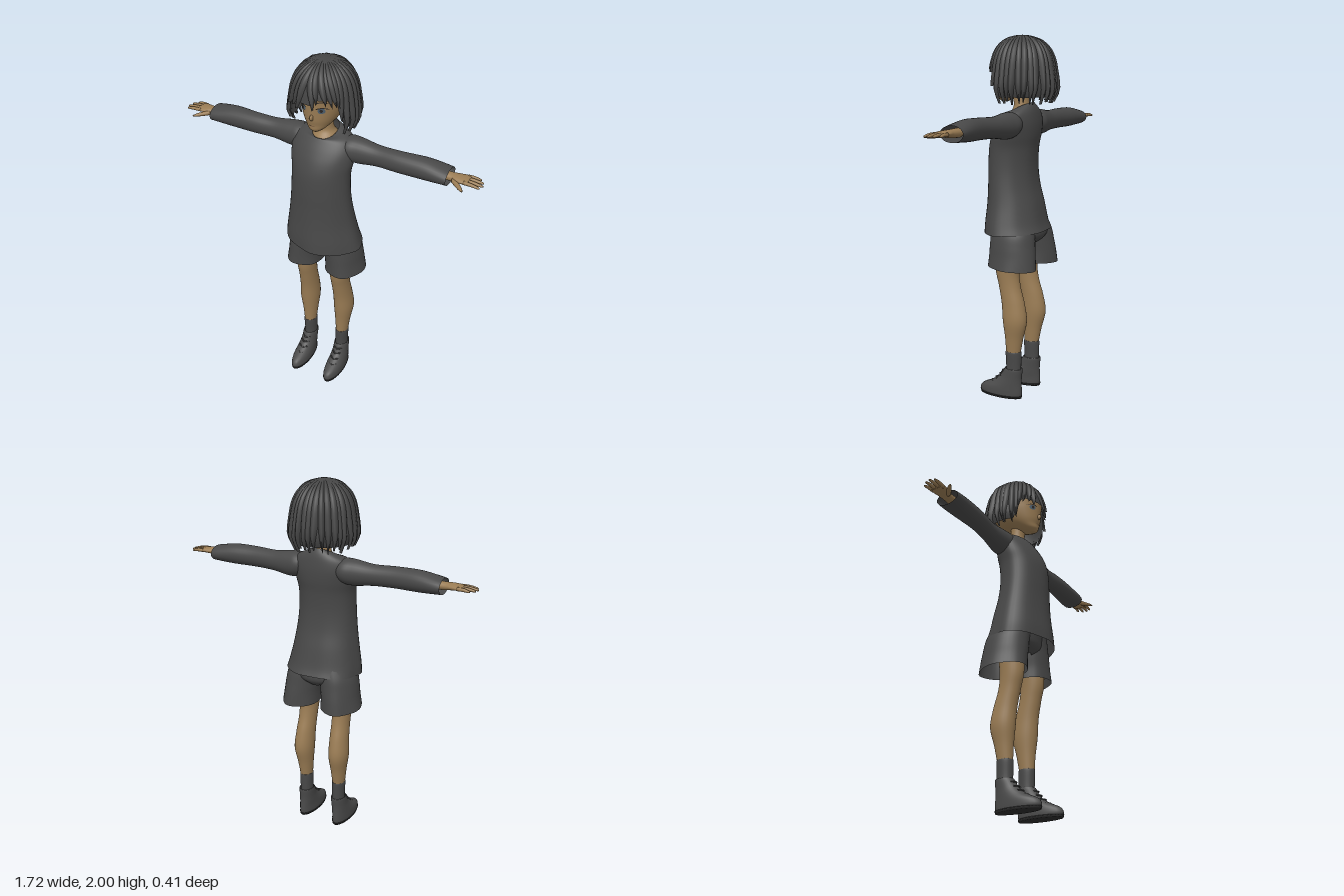
import * as THREE from 'three';
import { mergeVertices } from 'three/addons/utils/BufferGeometryUtils.js';

const mat = (name, color, side = THREE.FrontSide) => {
  const m = new THREE.MeshStandardMaterial({ color, side });
  m.name = name;
  return m;
};

// Smooth surface from f(u, v), u and v running 0..1
function grid(f, nu, nv) {
  const pos = [], index = [];
  for (let i = 0; i <= nu; i++)
    for (let j = 0; j <= nv; j++) pos.push(...f(i / nu, j / nv));
  for (let i = 0; i < nu; i++)
    for (let j = 0; j < nv; j++) {
      const a = i * (nv + 1) + j, b = a + nv + 1;
      index.push(a, b, a + 1, b, b + 1, a + 1);
    }
  let g = new THREE.BufferGeometry();
  g.setAttribute('position', new THREE.Float32BufferAttribute(pos, 3));
  g.setIndex(index);
  g = mergeVertices(g, 1e-5);
  g.computeVertexNormals();
  return g;
}

// Catmull-Rom blend of cross-section rows at s = 0..1
function blend(rows, s) {
  const n = rows.length - 1, k = Math.min(n - 1, Math.floor(s * n)), t = s * n - k;
  const r = (i) => rows[Math.max(0, Math.min(n, i))];
  return rows[k].map((_, c) => {
    const a = r(k - 1)[c], b = r(k)[c], d = r(k + 1)[c], e = r(k + 2)[c];
    return b + 0.5 * t * (d - a + t * (2 * a - 5 * b + 4 * d - e + t * (3 * (b - d) + e - a)));
  });
}

// Loft of ellipses. Axis y rows: [y, x, z, rx, rz, tilt]. Axis x rows: [x, z, y, rz, ry]
function loft(rows, { axis = 'y', sides = 28, steps = 5, cap = false, wave = () => 1 } = {}) {
  const nu = (rows.length - 1) * steps;
  const total = cap ? nu + 2 : nu;
  return grid((u, v) => {
    const i = Math.round(u * total) - (cap ? 1 : 0);
    const closed = i < 0 || i > nu;
    const s = Math.max(0, Math.min(1, i / nu));
    const [t, cu, cv, ru, rv, tilt = 0] = blend(rows, s);
    const th = (v === 1 ? 0 : v) * Math.PI * 2;
    const k = closed ? 0 : wave(th, s);
    const U = cu + ru * k * Math.cos(th), V = cv + rv * k * Math.sin(th);
    return axis === 'y' ? [U, t - tilt * Math.sin(th), V] : [t, V, U];
  }, total, sides);
}

function mirrored(geometry) {
  const g = geometry.clone().scale(-1, 1, 1), a = g.index.array;
  for (let i = 0; i < a.length; i += 3) [a[i + 1], a[i + 2]] = [a[i + 2], a[i + 1]];
  g.computeVertexNormals();
  return g;
}

const smooth = (a, b, x) => THREE.MathUtils.smoothstep(x, a, b);

export function createModel() {
  const model = new THREE.Group();
  model.name = 'figure';
  const skin = mat('skin', 0x9a7c54);
  const cloth = mat('cloth', 0x484848, THREE.DoubleSide);
  const hair = mat('hair', 0x454545, THREE.DoubleSide);
  const shoe = mat('shoe', 0x4a4a4a, THREE.DoubleSide);
  const sole = mat('sole', 0x2b2b2b);
  const dark = mat('lash', 0x2c2826, THREE.DoubleSide);
  const iris = mat('iris', 0x4d5f6e, THREE.DoubleSide);
  const lip = mat('lip', 0x74543c, THREE.DoubleSide);

  const add = (name, g, m) => {
    const mesh = new THREE.Mesh(g, m);
    mesh.name = name;
    model.add(mesh);
  };
  const pair = (name, g, m) => {
    add(name + 'Left', g, m);
    add(name + 'Right', mirrored(g), m);
  };

  // Head and neck
  const headRows = [
    [1.648, 0, 0.105, 0.015, 0.015], [1.665, 0, 0.09, 0.042, 0.045], [1.69, 0, 0.06, 0.068, 0.078],
    [1.72, 0, 0.03, 0.09, 0.115], [1.76, 0, 0.01, 0.108, 0.138], [1.8, 0, 0, 0.118, 0.15],
    [1.86, 0, 0, 0.122, 0.15], [1.93, 0, 0, 0.1, 0.115], [1.97, 0, 0, 0.04, 0.05]];
  add('head', loft(headRows, { sides: 36, cap: true }), skin);
  add('neck', loft([[1.54, 0, 0.01, 0.085, 0.085], [1.585, 0, 0, 0.07, 0.068], [1.62, 0, 0, 0.045, 0.045],
    [1.67, 0, 0.005, 0.04, 0.042], [1.72, 0, 0.01, 0.042, 0.045]]), skin);
  add('nose', new THREE.SphereGeometry(1, 16, 10).scale(0.009, 0.017, 0.018).rotateX(-0.3).translate(0, 1.738, 0.146), skin);

  // Facial features laid on the face surface
  const faceZ = (x, y) => {
    const k = Math.max(0, headRows.findIndex((r) => r[0] > y) - 1);
    const t = (y - headRows[k][0]) / (headRows[k + 1][0] - headRows[k][0]);
    const [, , cz, rx, rz] = headRows[k].map((a, c) => a + t * (headRows[k + 1][c] - a));
    return cz + rz * Math.sqrt(Math.max(0, 1 - (x / rx) ** 2));
  };
  const patch = (x, y, w, h, arch, lift) => {
    const g = grid((u, v) => {
      const a = 2 * u - 1;
      const px = x + w * a;
      const py = y + arch * (1 - a * a) + h * (2 * v - 1) * Math.sqrt(Math.max(0, 1 - a * a));
      return [px, py, faceZ(px, py) + lift];
    }, 12, 4);
    return g;
  };
  pair('eye', patch(0.05, 1.782, 0.017, 0.015, 0, 0.003), iris);
  pair('pupil', patch(0.05, 1.783, 0.007, 0.009, 0, 0.005), dark);
  pair('upperLash', patch(0.053, 1.79, 0.029, 0.003, 0.009, 0.006), dark);
  pair('brow', patch(0.053, 1.822, 0.028, 0.003, 0.007, 0.004), dark);
  add('mouth', patch(0, 1.692, 0.02, 0.002, -0.002, 0.004), lip);

  // Bobbed hair: a shell under overlapping locks that fan out from the crown
  const hairPoint = (th, d, lift) => {
    const q = 1 - Math.min(d, 0.16) / 0.16;
    const r = 0.16 * Math.sqrt(1 - q * q) + 0.02 * smooth(0.1, 0.28, d) - 0.035 * smooth(0.28, 0.38, d) + lift;
    const s = Math.sin(th);
    return [r * Math.cos(th) - 0.006, 2 - d, r * s * (s > 0 ? 1 : 1.06)];
  };
  const hairLength = (th) => {
    const s = Math.sin(th);
    const fringe = Math.cos(th) < 0.1 ? 0.215 : 0.185;
    return 0.35 - (0.35 - fringe) * smooth(0.4, 0.72, s);
  };
  add('hairShell', grid((u, v) => {
    const th = -v * Math.PI * 2;
    return hairPoint(th, 0.004 + (hairLength(th) - 0.03) * (1 - u) ** 1.8, -0.006);
  }, 20, 72), hair);
  let seed = 7;
  const rand = () => (seed = (seed * 16807) % 2147483647) / 2147483647;
  const lock = (th0, drift, width, len, bump) => grid((u, v) => {
    const w = 2 * v - 1;
    const half = width * (1 - 0.93 * u ** 5);
    const th = th0 + drift * u * u + w * half;
    return hairPoint(th, len * u ** 1.8, (bump * (1 - w * w) - 0.005) * Math.min(1, u * 4));
  }, 16, 6);
  for (let i = 0; i < 34; i++) {
    const th = (i / 34) * Math.PI * 2 + (rand() - 0.5) * 0.08;
    const front = smooth(0.5, 0.8, Math.sin(th));
    const drift = (th < 1.75 ? -0.22 : 0.16) * front + (rand() - 0.5) * 0.14;
    const len = hairLength(th + drift * 0.5) + (rand() - 0.5) * 0.025;
    add('hairLock' + i, lock(th, drift, 0.13 + rand() * 0.04, len, 0.012 + rand() * 0.008), hair);
  }

  // Loose jumper with a scooped neckline and a flared hem
  const fold = (th, s) => 1 + 0.022 * (1 - s) ** 2 * Math.sin(5 * th + 0.8) + 0.008 * (1 - s) * Math.sin(9 * th);
  add('jumperBody', loft([
    [0.945, 0.008, 0.022, 0.218, 0.172, 0.008], [1.0, 0.004, 0.03, 0.208, 0.162, 0], [1.1, 0, 0.037, 0.188, 0.147, 0],
    [1.2, 0, 0.047, 0.173, 0.133, 0], [1.3, 0, 0.052, 0.164, 0.128, 0], [1.4, 0, 0.047, 0.163, 0.127, 0],
    [1.47, 0, 0.032, 0.174, 0.122, 0], [1.53, 0, 0.015, 0.178, 0.108, 0], [1.58, 0, 0.002, 0.158, 0.09, 0.004],
    [1.605, 0, 0, 0.115, 0.08, 0.015], [1.616, 0, 0.002, 0.068, 0.07, 0.032]], { sides: 48, wave: fold }), cloth);
  pair('sleeve', loft([
    [0.08, -0.005, 1.54, 0.05, 0.045], [0.14, -0.005, 1.533, 0.07, 0.067], [0.2, -0.005, 1.53, 0.062, 0.069],
    [0.3, -0.002, 1.53, 0.05, 0.056], [0.42, 0.005, 1.533, 0.052, 0.056], [0.55, 0, 1.534, 0.06, 0.056],
    [0.64, -0.002, 1.53, 0.066, 0.047], [0.685, -0.002, 1.527, 0.066, 0.041]], { axis: 'x' }), cloth);

  // Hands: wrist and palm, four fingers, thumb
  pair('palm', loft([
    [0.62, 0, 1.53, 0.028, 0.024], [0.69, 0, 1.53, 0.027, 0.021], [0.725, 0.002, 1.532, 0.036, 0.018],
    [0.765, 0, 1.533, 0.042, 0.014], [0.785, 0, 1.532, 0.038, 0.009]], { axis: 'x', sides: 20, cap: true }), skin);
  [[-0.033, 0.832], [-0.012, 0.852], [0.011, 0.858], [0.032, 0.848]].forEach(([z, tip], i) => {
    const mid = (0.765 + tip) / 2;
    pair('finger' + (i + 1), loft([
      [0.765, z, 1.533, 0.01, 0.01], [mid, z * 1.08, 1.533, 0.009, 0.009], [tip - 0.008, z * 1.15, 1.529, 0.007, 0.006],
      [tip, z * 1.17, 1.528, 0.003, 0.003]], { axis: 'x', sides: 10, steps: 3, cap: true }), skin);
  });
  pair('thumb', loft([
    [0.705, 0.02, 1.527, 0.018, 0.014], [0.735, 0.045, 1.523, 0.017, 0.012], [0.762, 0.068, 1.52, 0.014, 0.009],
    [0.78, 0.084, 1.518, 0.006, 0.004]], { axis: 'x', sides: 12, cap: true }), skin);

  // Wide shorts
  add('shortsSeat', loft([[0.885, 0, -0.005, 0.05, 0.09], [0.92, 0, -0.005, 0.15, 0.125],
    [0.97, 0, 0.0, 0.175, 0.13], [1.04, 0, 0.02, 0.16, 0.115]]), cloth);
  pair('shortsLeg', loft([
    [0.757, 0.124, -0.01, 0.108, 0.138, -0.006], [0.82, 0.118, -0.008, 0.102, 0.134, 0], [0.88, 0.11, -0.004, 0.102, 0.13, 0],
    [0.94, 0.1, 0, 0.1, 0.126, 0], [1.0, 0.085, 0.01, 0.09, 0.12, 0]],
  { sides: 36, wave: (th, s) => 1 + 0.025 * (1 - s) ** 2 * Math.sin(5 * th + 2) }), cloth);

  // Legs and socks
  pair('leg', loft([
    [0.25, 0.107, -0.005, 0.033, 0.041], [0.35, 0.109, -0.012, 0.043, 0.053], [0.45, 0.112, -0.018, 0.055, 0.07],
    [0.55, 0.109, -0.006, 0.052, 0.067], [0.65, 0.106, 0.018, 0.05, 0.063], [0.75, 0.105, 0.032, 0.055, 0.069],
    [0.93, 0.1, 0.02, 0.068, 0.08]]), skin);
  pair('sock', loft([[0.1, 0.106, -0.006, 0.037, 0.045], [0.18, 0.106, -0.007, 0.035, 0.044],
    [0.262, 0.107, -0.006, 0.037, 0.046], [0.272, 0.107, -0.006, 0.033, 0.042]]), cloth);

  // Ankle shoes with soles and laces
  pair('shoeUpper', loft([
    [0.012, 0.11, 0.073, 0.049, 0.13], [0.03, 0.11, 0.073, 0.05, 0.132], [0.055, 0.11, 0.064, 0.049, 0.122],
    [0.085, 0.109, 0.034, 0.046, 0.09], [0.12, 0.108, 0.01, 0.043, 0.066], [0.165, 0.107, -0.006, 0.042, 0.054],
    [0.172, 0.107, -0.006, 0.038, 0.049]], { sides: 32 }), shoe);
  pair('shoeSole', loft([[0, 0.11, 0.073, 0.047, 0.13], [0.014, 0.11, 0.073, 0.051, 0.134]], { sides: 32, steps: 2, cap: true }), sole);
  [[0.075, 0.132], [0.098, 0.105], [0.122, 0.08], [0.146, 0.062]].forEach(([y, z], i) => {
    const path = new THREE.CatmullRomCurve3([[-0.026, -0.018], [0, 0], [0.026, -0.018]]
      .map(([dx, dz]) => new THREE.Vector3(0.109 + dx, y + 0.004, z + dz)));
    pair('lace' + (i + 1), new THREE.TubeGeometry(path, 10, 0.004, 6), shoe);
  });
  return model;
}
